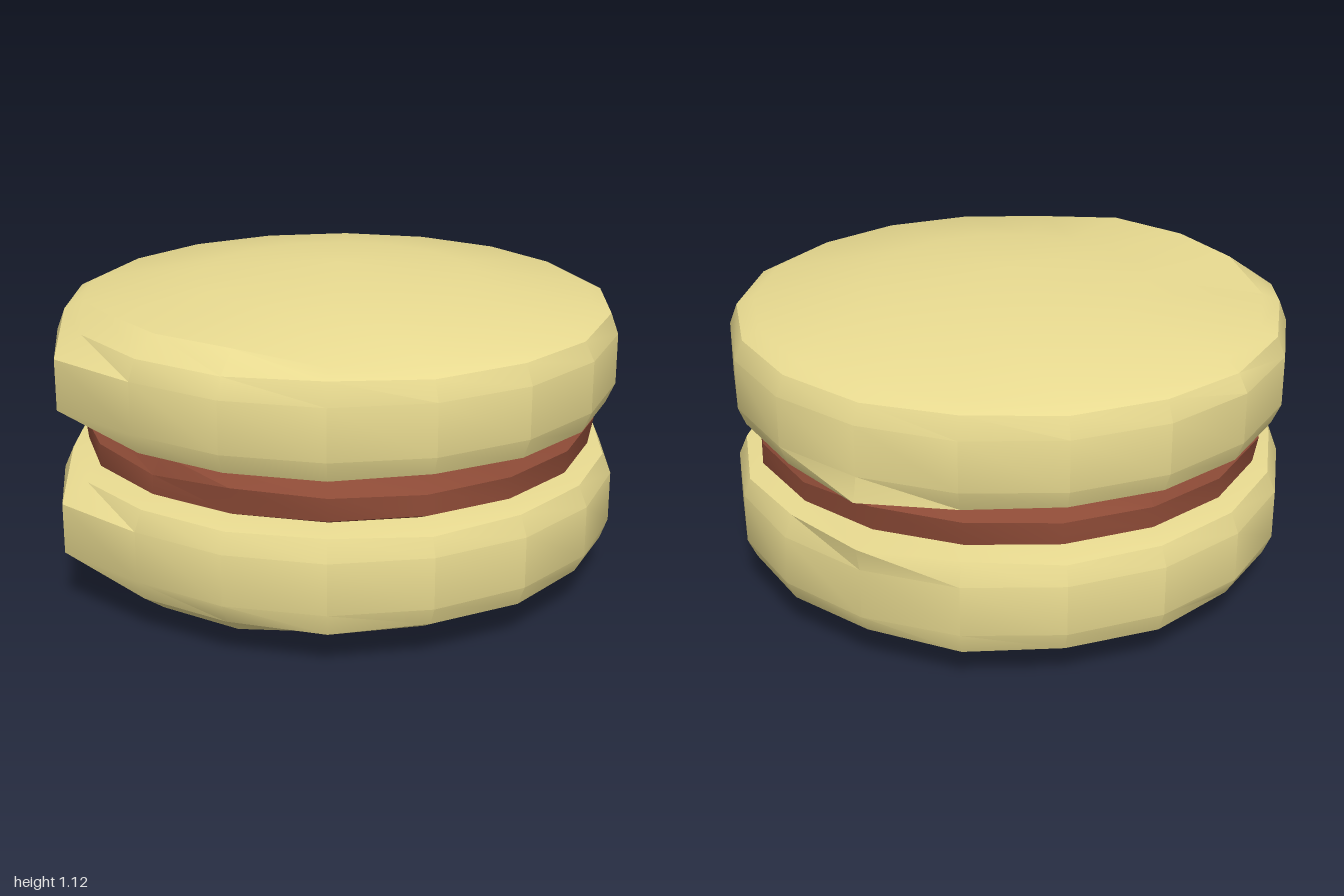
import * as THREE from 'three';
import { toCreasedNormals } from 'three/addons/utils/BufferGeometryUtils.js';

const SIDES = 18;
const HEIGHT = 1.12;

// Small repeatable unevenness, -1..1, for side i and profile point j
const wobble = (i, j) => Math.sin(i * 2.4 + j * 1.7) * Math.cos(i * 1.1 - j * 0.9);

// Turned disc whose points are shifted by a rule: shift(side, point) -> [radius factor, dy]
function turned(profile, shift, mirrored) {
  const n = profile.length;
  const pts = profile.map(([r, y]) => new THREE.Vector2(r, mirrored ? HEIGHT - y : y));
  if (mirrored) pts.reverse();
  const geo = new THREE.LatheGeometry(pts, SIDES, Math.PI / SIDES);
  const pos = geo.attributes.position;
  for (let v = 0; v < pos.count; v++) {
    const row = v % n;
    const side = Math.floor(v / n) % SIDES;
    const [k, dy] = shift(side, mirrored ? n - 1 - row : row);
    pos.setXYZ(v, pos.getX(v) * k, pos.getY(v) + (mirrored ? -dy : dy), pos.getZ(v) * k);
  }
  return toCreasedNormals(geo, 0.5);
}

// Biscuit profile from the flat inner face out and up to the domed crown
const shellProfile = [
  [0, 0.645], [0.88, 0.645], [0.97, 0.66], [1, 0.73],
  [1, 0.91], [0.97, 0.98], [0.91, 1.01], [0.5, 1.07], [0, 1.12],
];

function shellShift(i, j) {
  if (j === 0 || j === 8) return [1, 0];
  if (i === 16 && j >= 3 && j <= 4) return [1.07, 0];         // bulge at the front corner
  if (i === 9 && j === 2) return [1.05, -0.015];              // pinched lip at the back
  if (j === 6 && (i === 0 || i >= 16)) return [0.97, 0.035];  // raised front of the crown
  if (j === 2 || j === 5) return [1 + 0.006 * wobble(i, j), 0.008 * wobble(i, j)];
  return [1, 0];
}

const fillingProfile = [
  [0, 0.475], [0.86, 0.475], [0.915, 0.5], [0.92, 0.58], [0.87, 0.625], [0, 0.63],
];

function fillingShift(i, j) {
  if (j === 0 || j === 5) return [1, 0];
  return [1 + 0.012 * wobble(i, j), (j > 2 ? 0.016 : 0.006) * wobble(i, j)];
}

export function createModel() {
  const group = new THREE.Group();
  group.name = 'sandwichBiscuit';
  const biscuit = new THREE.MeshStandardMaterial({ color: 0xe8da90 });
  const cream = new THREE.MeshStandardMaterial({ color: 0x8c4a36 });

  const add = (name, geo, mat) => {
    const mesh = new THREE.Mesh(geo, mat);
    mesh.name = name;
    mesh.position.z = 0.01;
    group.add(mesh);
  };

  add('upperShell', turned(shellProfile, shellShift, false), biscuit);
  add('lowerShell', turned(shellProfile, shellShift, true), biscuit);
  add('filling', turned(fillingProfile, fillingShift, false), cream);
  return group;
}
